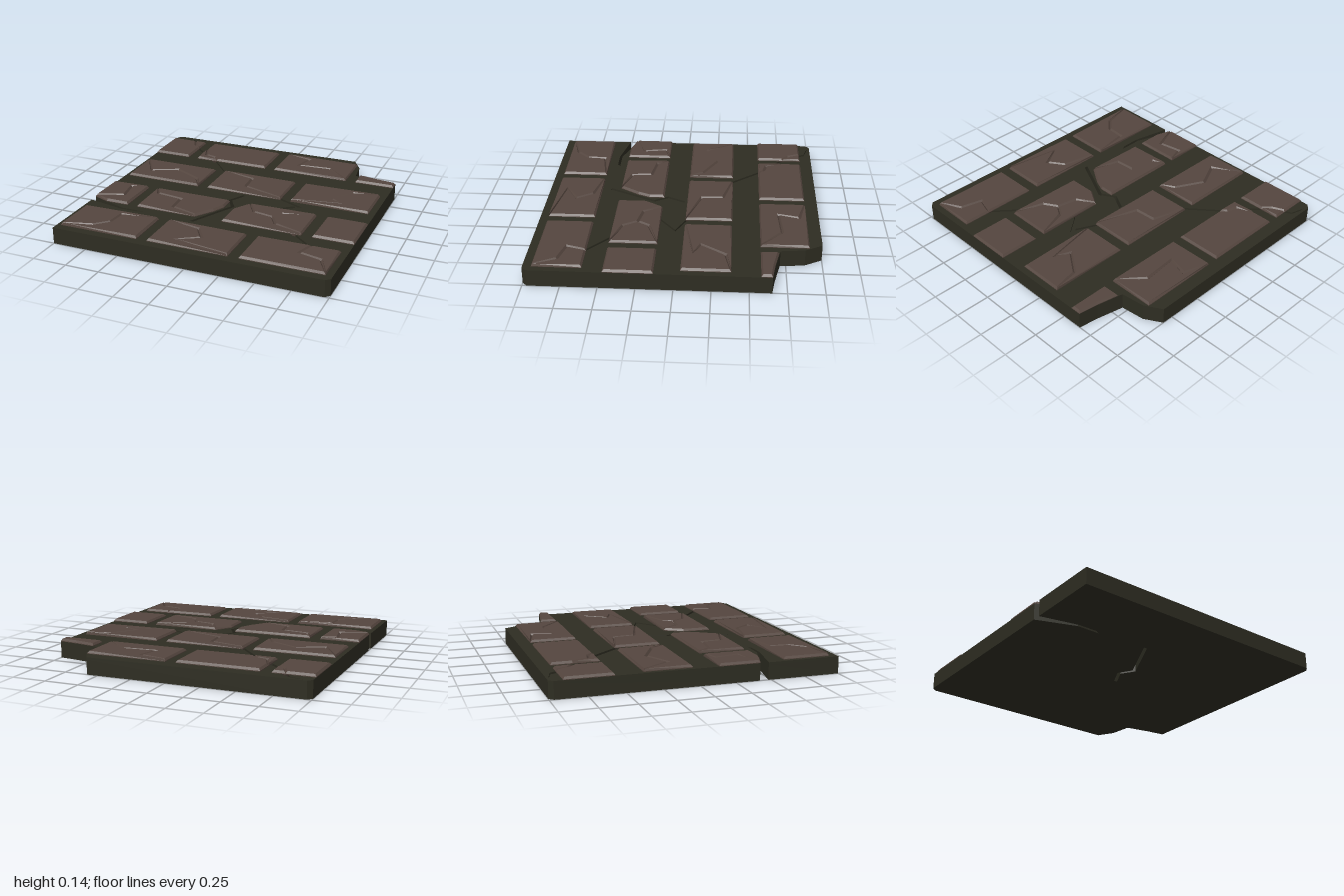
import * as THREE from 'three';

const SLAB_TOP = 0.12, MORTAR = 0.014, BEVEL = 0.012;
const BRICK_W = 0.59, BRICK_D = 0.335, PITCH = 0.667;
const ROW_Z = [-0.91, -0.38, 0.13, 0.605];

// Points are [x, z]; shapes lie in the ground plane and are extruded upwards.
const toVecs = (pts) => pts.map(([x, z]) => new THREE.Vector2(x, -z));
const area = (pts) => Math.abs(THREE.ShapeUtils.area(toVecs(pts)));

function prism(outline, holes, bottom, depth, bevel = 0) {
  const shape = new THREE.Shape(toVecs(outline));
  shape.holes = holes.map((h) => new THREE.Path(toVecs(h)));
  const geo = new THREE.ExtrudeGeometry(shape, {
    depth, bevelEnabled: bevel > 0, bevelThickness: 0.015,
    bevelSize: bevel, bevelOffset: -bevel, bevelSegments: 1,
  });
  return geo.rotateX(-Math.PI / 2).translate(0, bottom, 0);
}

// Band of constant width in x along a path running front to back
const band = (width, ...path) => [
  ...path.map(([x, z]) => [x - width / 2, z]),
  ...path.map(([x, z]) => [x + width / 2, z]).reverse(),
];

// Position of a point along a polygon's perimeter: edge index + fraction
function perimeterPos(poly, [px, pz]) {
  let best = Infinity, pos = 0;
  poly.forEach(([ax, az], i) => {
    const [bx, bz] = poly[(i + 1) % poly.length];
    const dx = bx - ax, dz = bz - az;
    const t = THREE.MathUtils.clamp(((px - ax) * dx + (pz - az) * dz) / (dx * dx + dz * dz), 0, 1);
    const d = Math.hypot(ax + dx * t - px, az + dz * t - pz);
    if (d < best - 1e-6) { best = d; pos = i + t; }
  });
  return pos;
}

// Cut a polygon in two along a path running from edge to edge
function split(poly, path) {
  const piece = (p) => {
    const n = poly.length, first = p[0], last = p[p.length - 1];
    const from = perimeterPos(poly, last);
    let to = perimeterPos(poly, first);
    if (to < from) to += n;
    const out = [...p];
    for (let i = Math.ceil(from); i <= to; i++) {
      const c = poly[i % n];
      const near = (q) => Math.hypot(c[0] - q[0], c[1] - q[1]) < 0.008;
      if (!near(first) && !near(last)) out.push(c);
    }
    return out;
  };
  return [piece(path), piece([...path].reverse())];
}

export function createModel() {
  const group = new THREE.Group();
  const mortar = new THREE.MeshStandardMaterial({ color: 0x2e2d22 });
  mortar.name = 'dark mortar';
  const stone = new THREE.MeshStandardMaterial({ color: 0x55463f });
  stone.name = 'brown brick';
  const add = (name, geo, mat, parent = group) => {
    const mesh = new THREE.Mesh(geo, mat);
    mesh.name = name;
    parent.add(mesh);
  };

  // Slab with a broken back corner, a split side and a gap right through it
  const outline = [
    [-0.97, -1], [0.58, -1], [0.65, -0.88], [0.67, -0.71], [0.86, -0.67], [1, -0.65],
    [1, 0.97], [0.97, 1], [-1, 1], [-1, 0.48], [-0.72, 0.54], [-0.58, 0.54],
    [-0.55, 0.52], [-0.72, 0.52], [-1, 0.42], [-1, -0.97],
  ];
  const gap = band(0.027, [0.015, -0.025], [-0.05, 0.1], [0.01, 0.2], [-0.16, 0.54]);
  add('slab', prism(outline, [gap], 0, SLAB_TOP - MORTAR), mortar);

  // Top layer of mortar, opened by shallow cracks
  const cracks = [
    band(0.04, [-0.92, -0.98], [-0.82, -0.95], [-0.79, -0.89]),
    band(0.04, [-0.73, -0.79], [-0.61, -0.68]),
    band(0.04, [-0.5, -0.6], [-0.28, -0.34]),
    band(0.05, [0.26, -0.07], [0.45, 0.02], [0.28, 0.15]),
    band(0.04, [0.55, 0.45], [0.76, 0.63]),
  ];
  add('mortarLayer', prism(outline, [gap, ...cracks], SLAB_TOP - MORTAR, MORTAR), mortar);

  // One brick. Corners run 0 back left, 1 back right, 2 front right, 3 front left.
  // A crack lists corner numbers or points; edits replace a corner by points.
  function brick(row, col, paths, edits = {}) {
    const start = (row % 2 ? -0.97 : -1.297) + PITCH * col;
    const x0 = Math.max(start, -1), x1 = Math.min(start + BRICK_W, 1);
    const z0 = ROW_Z[row], z1 = z0 + BRICK_D;
    const corners = [[x0, z0], [x1, z0], [x1, z1], [x0, z1]].map((c, i) => edits[i] ?? [c]);
    let pieces = [corners.flat()];
    for (const path of paths) {
      const points = path.map((p) => (Array.isArray(p) ? p : corners[p].at(-1)));
      pieces.sort((a, b) => area(b) - area(a));
      pieces = [...split(pieces[0], points), ...pieces.slice(1)];
    }
    // Bevelled pieces meet in V-shaped grooves
    const parent = new THREE.Group();
    parent.name = `brickRow${row + 1}Number${col + 1}`;
    pieces.forEach((p) => add('brickPiece', prism(p, [], SLAB_TOP, 0.005, BEVEL), stone, parent));
    group.add(parent);
  }

  // Back row, its last brick broken off with the slab
  brick(0, 0, [[[-0.8, -0.91], [-0.76, -0.82], [-0.707, -0.77]]]);
  brick(0, 1, [[[-0.63, -0.76], [-0.58, -0.64], [-0.5, -0.62], [-0.46, -0.575]]]);
  brick(0, 2, [[0, [0.24, -0.86], [0.2, -0.71], [0.45, -0.73], 2]]);
  brick(0, 3, [], { 0: [[0.704, -0.7]], 1: [[0.86, -0.67], [1, -0.65]] });

  // Second row
  brick(1, 0, [[0, [-0.84, -0.17], [-0.65, -0.26], [-0.44, -0.15], 2]]);
  brick(1, 1, [[0, [-0.04, -0.31], [-0.03, -0.15], 2]]);
  brick(1, 2, [[1, [0.76, -0.34], [0.64, -0.17], [0.75, -0.12], 3]]);

  // Third row, trimmed around the split and the gap
  brick(2, 0, [[1, [-0.83, 0.17], [-0.8, 0.34], 3]], { 3: [[-0.88, 0.465], [-1, 0.42]] });
  brick(2, 1, [[0, [-0.58, 0.22], [-0.38, 0.25], [-0.37, 0.4], 2]],
    { 2: [[-0.04, 0.24], [-0.08, 0.33], [-0.17, 0.465]] });
  brick(2, 2, [[0, [0.2, 0.26], [0.35, 0.29], [0.4, 0.21], 1], [[0.35, 0.29], [0.41, 0.39], 2]],
    { 0: [[0.037, 0.26], [0.12, 0.13]] });
  brick(2, 3, []);

  // Front row
  brick(3, 0, [[3, [-0.75, 0.88], [-0.66, 0.79], [-0.65, 0.65], 1]]);
  brick(3, 1, [[0, [-0.05, 0.66], [0.03, 0.78], [-0.12, 0.87], 2]]);
  brick(3, 2, [[[0.75, 0.605], [0.71, 0.74], [0.87, 0.78], 2]]);
  return group;
}
